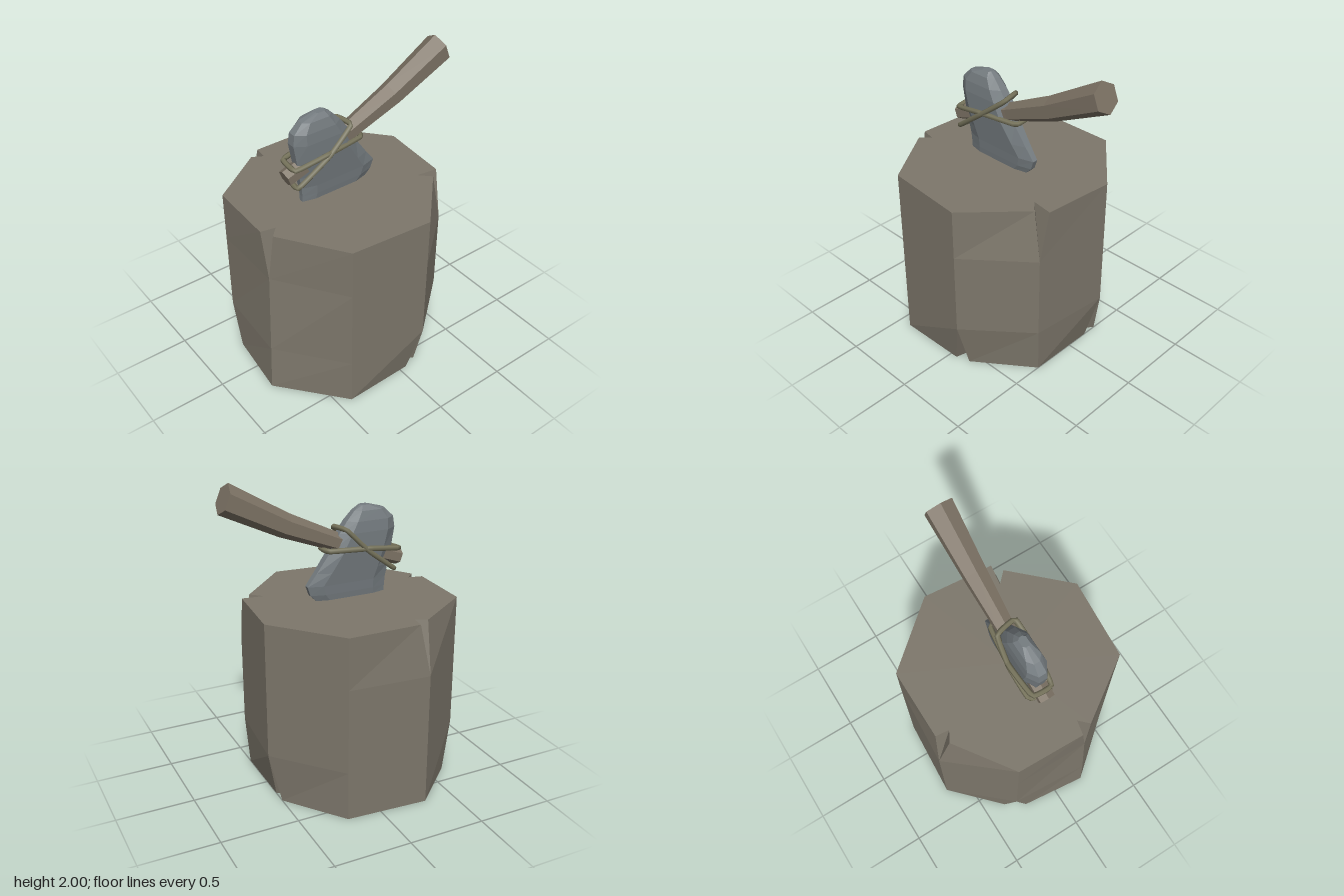
import * as THREE from 'three';

const material = (color, flatShading = true) =>
  new THREE.MeshStandardMaterial({ color, flatShading, roughness: 0.9 });

// Skins a stack of equal-length rings (counter-clockwise about the stacking axis) and caps both ends.
function loft(rings) {
  const pos = [];
  const tri = (...pts) => pts.forEach((p) => pos.push(...p));
  const middle = (ring) => [0, 1, 2].map((k) => ring.reduce((s, p) => s + p[k], 0) / ring.length);
  const n = rings[0].length;
  const last = rings[rings.length - 1];
  const c0 = middle(rings[0]);
  const c1 = middle(last);
  for (let i = 0; i < n; i++) {
    const j = (i + 1) % n;
    for (let r = 0; r + 1 < rings.length; r++) {
      const a = rings[r];
      const b = rings[r + 1];
      tri(a[i], a[j], b[j]);
      tri(a[i], b[j], b[i]);
    }
    tri(c0, rings[0][j], rings[0][i]);
    tri(c1, last[i], last[j]);
  }
  const g = new THREE.BufferGeometry();
  g.setAttribute('position', new THREE.Float32BufferAttribute(pos, 3));
  g.computeVertexNormals();
  return g;
}

function addMesh(group, name, geometry, mat) {
  const mesh = new THREE.Mesh(geometry, mat);
  mesh.name = name;
  group.add(mesh);
}

// Eight-sided stump; a corner given as three points is split open by a crack at that end.
function stumpGeometry() {
  const corners = [
    { p: [-0.41, 0.61] },
    { p: [0.13, 0.655], bottom: [[0.05, 0.6], [0.07, 0.52], [0.14, 0.57]] },
    { p: [0.52, 0.325], bottom: [[0.5, 0.3]], top: [[0.46, 0.31], [0.39, 0.24], [0.53, 0.26]] },
    { p: [0.57, -0.21], bottom: [[0.5, -0.155], [0.44, -0.18], [0.5, -0.25]] },
    { p: [0.22, -0.62] },
    { p: [-0.31, -0.655], top: [[-0.25, -0.62], [-0.26, -0.53], [-0.33, -0.57]] },
    { p: [-0.7, -0.315], bottom: [[-0.62, -0.36], [-0.6, -0.28], [-0.7, -0.23]] },
    { p: [-0.705, 0.18], low: [-0.735, 0.2], bottom: [[-0.75, 0.205]],
      top: [[-0.715, 0.13], [-0.62, 0.15], [-0.68, 0.21]] },
  ];
  const ring = (y, pick) => corners.flatMap((c) => {
    const pts = pick(c);
    return [0, 1, 2].map((k) => {
      const [x, z] = pts[k] || pts[0];
      return [x, y, z];
    });
  });
  return loft([
    ring(0, (c) => c.bottom || [c.p]),
    ring(0.32, (c) => [c.low || c.p]),
    ring(0.87, (c) => [c.p]),
    ring(1.2, (c) => c.top || [c.p]),
  ]);
}

// Stone blade: chamfered horizontal slices [y, left x, right x, half thickness].
function headGeometry() {
  const zc = 0.022;
  const slices = [
    [1.12, -0.33, 0.02, 0.025], [1.2, -0.35, 0.13, 0.035], [1.24, -0.35, 0.17, 0.04],
    [1.3, -0.355, 0.19, 0.045], [1.38, -0.37, 0.13, 0.055], [1.5, -0.39, 0.045, 0.07],
    [1.62, -0.41, -0.025, 0.072], [1.69, -0.4, -0.075, 0.066], [1.75, -0.34, -0.13, 0.05],
    [1.78, -0.24, -0.17, 0.025],
  ];
  return loft(slices.map(([y, l, r, t]) => {
    const c = (r - l) * 0.18;
    return [
      [l, y, zc + t * 0.4], [l + c, y, zc + t], [r - c, y, zc + t], [r, y, zc + t * 0.4],
      [r, y, zc - t * 0.4], [r - c, y, zc - t], [l + c, y, zc - t], [l, y, zc - t * 0.4],
    ];
  }));
}

// Six-sided handle: stations [x, y, radius, tilt], widening to the grip end.
function handleGeometry() {
  const stations = [
    [-0.46, 1.41, 0.055, 0.33], [-0.01, 1.565, 0.06, 0.37],
    [0.33, 1.71, 0.078, 0.45], [0.705, 1.91, 0.097, 0.38],
  ];
  return loft(stations.map(([x, y, r, tilt]) => Array.from({ length: 6 }, (_, i) => {
    const a = (i * Math.PI) / 3;
    const up = r * Math.cos(a);
    return [x - up * Math.sin(tilt), y + up * Math.cos(tilt), 0.025 + r * Math.sin(a)];
  })));
}

export function createModel() {
  const group = new THREE.Group();
  group.name = 'axeInStump';
  addMesh(group, 'stump', stumpGeometry(), material(0x7d776b));
  addMesh(group, 'axeHead', headGeometry(), material(0x757c80));
  addMesh(group, 'axeHandle', handleGeometry(), material(0x7d7365));

  // Two rope loops crossing over both cheeks of the head.
  const loops = [
    [[-0.41, 1.35, 0.085], [-0.2, 1.505, 0.112], [-0.02, 1.645, 0.085],
      [-0.05, 1.65, -0.055], [-0.2, 1.5, -0.072], [-0.39, 1.36, -0.05]],
    [[-0.42, 1.475, 0.08], [-0.2, 1.52, 0.108], [0.07, 1.525, 0.07],
      [0.06, 1.525, -0.035], [-0.2, 1.52, -0.072], [-0.42, 1.49, -0.05]],
  ];
  const rope = material(0x77745c, false);
  loops.forEach((pts, i) => {
    const curve = new THREE.CatmullRomCurve3(
      pts.map((p) => new THREE.Vector3(...p)), true, 'catmullrom', 0.15);
    addMesh(group, `ropeLoop${i + 1}`, new THREE.TubeGeometry(curve, 48, 0.017, 6, true), rope);
  });
  return group;
}
